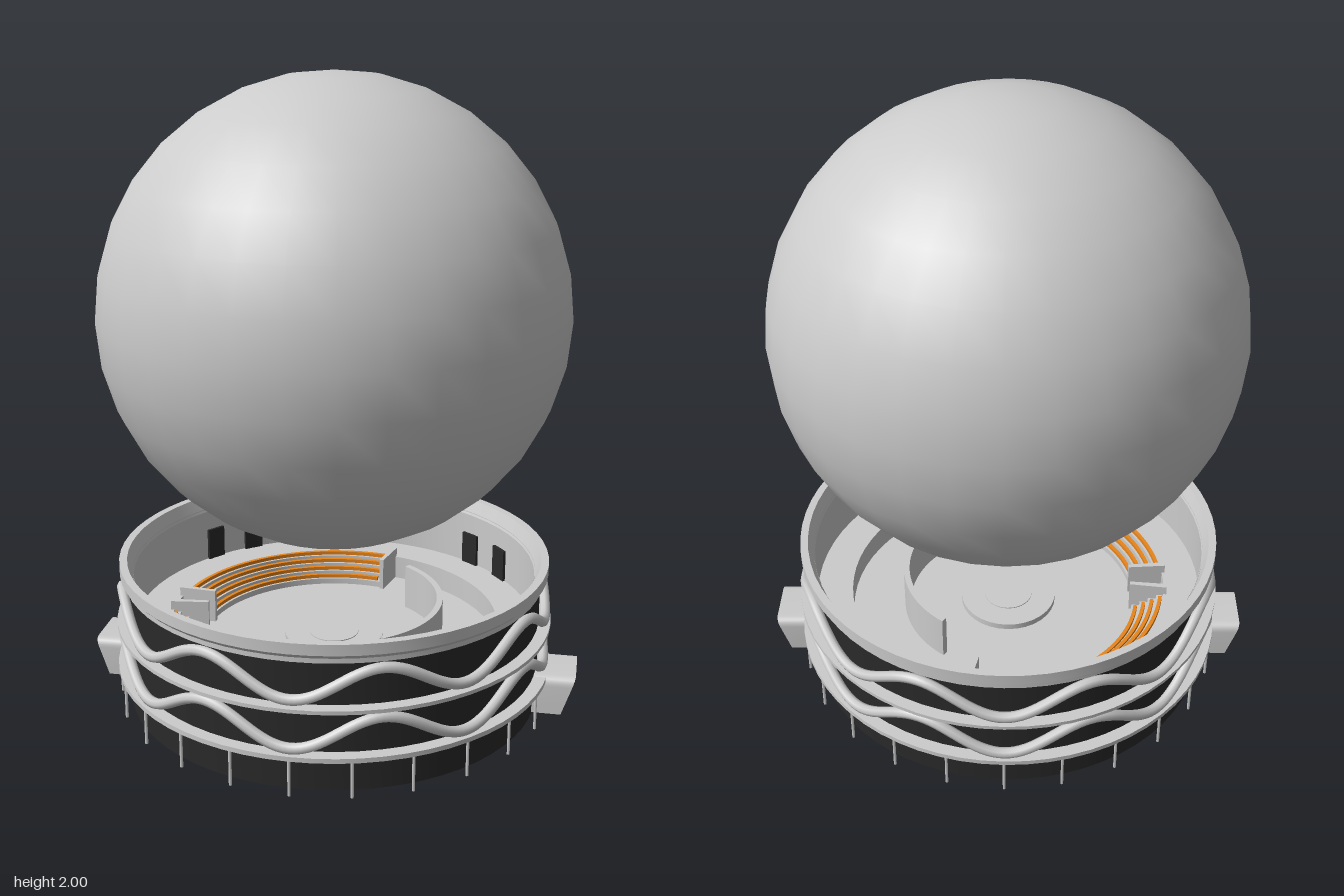
import * as THREE from 'three';
import { toCreasedNormals } from 'three/addons/utils/BufferGeometryUtils.js';

const grey = new THREE.MeshStandardMaterial({ color: 0xcccccc });
const greyOpen = new THREE.MeshStandardMaterial({ color: 0xcccccc, side: THREE.DoubleSide });
const dark = new THREE.MeshStandardMaterial({ color: 0x2a2a2a, side: THREE.DoubleSide });
const orange = new THREE.MeshStandardMaterial({ color: 0xe8851c });
const rad = THREE.MathUtils.degToRad;

export function createModel() {
  const model = new THREE.Group();

  const add = (name, geometry, material = grey, parent = model) => {
    const mesh = new THREE.Mesh(geometry, material);
    mesh.name = name;
    parent.add(mesh);
    return mesh;
  };
  const group = (name) => {
    const g = new THREE.Group();
    g.name = name;
    model.add(g);
    return g;
  };
  // Revolved profile of [radius, y] pairs with sharp corners
  const lathe = (points, segments = 64) => toCreasedNormals(
    new THREE.LatheGeometry(points.map(([r, y]) => new THREE.Vector2(r, y)), segments), rad(35));
  // Flat ring with a rectangular section
  const ring = (r0, r1, y0, y1) => lathe([[r0, y0], [r1, y0], [r1, y1], [r0, y1], [r0, y0]]);
  // Part of a ring, angles in degrees measured from +x
  const sector = (r0, r1, y0, y1, from, to) => {
    const shape = new THREE.Shape();
    shape.absarc(0, 0, r1, rad(from), rad(to), false);
    shape.absarc(0, 0, r0, rad(to), rad(from), true);
    const geo = new THREE.ExtrudeGeometry(shape, { depth: y1 - y0, bevelEnabled: false, curveSegments: 24 });
    return toCreasedNormals(geo.rotateX(-Math.PI / 2).translate(0, y0, 0), rad(35));
  };

  // Floating dome sphere
  add('sphere', new THREE.SphereGeometry(0.73, 32, 16)).position.y = 1.27;

  // Outer drum
  add('outerWall', lathe([[0.645, 0.005], [0.665, 0.005], [0.665, 0.43]]), dark);
  add('basePlate', new THREE.CylinderGeometry(0.645, 0.645, 0.02, 64)).position.y = 0.012;
  add('lowerLedge', ring(0.66, 0.705, 0.115, 0.13));
  add('middleLedge', ring(0.66, 0.703, 0.268, 0.28));
  add('upperLedge', ring(0.65, 0.675, 0.415, 0.43));
  add('topRim', lathe([[0.645, 0.43], [0.675, 0.43], [0.69, 0.445], [0.69, 0.48], [0.665, 0.48], [0.645, 0.43]]));

  // Wavy bands around both storeys
  for (const [name, mid] of [['lowerWave', 0.195], ['upperWave', 0.35]]) {
    const points = [];
    for (let i = 0; i < 128; i++) {
      const a = (i / 128) * Math.PI * 2;
      points.push(new THREE.Vector3(Math.sin(a) * 0.683, mid - 0.05 * Math.cos(a * 8), Math.cos(a) * 0.683));
    }
    add(name, new THREE.TubeGeometry(new THREE.CatmullRomCurve3(points, true), 256, 0.017, 8, true));
  }

  // Thin posts under the lower ledge, left out at the two entrances
  const posts = group('posts');
  for (let i = 0; i < 24; i++) {
    if (i === 6 || i === 18) continue;
    const a = rad(i * 15);
    add('post', new THREE.CylinderGeometry(0.005, 0.005, 0.12, 6), grey, posts)
      .position.set(Math.sin(a) * 0.697, 0.06, Math.cos(a) * 0.697);
  }

  // Entrance hoods: an arch pushed outward, its front leaning out at the top
  const arch = new THREE.Shape();
  arch.moveTo(-0.095, 0.01).lineTo(-0.095, 0.105).quadraticCurveTo(-0.095, 0.135, -0.065, 0.135);
  arch.lineTo(0.065, 0.135).quadraticCurveTo(0.095, 0.135, 0.095, 0.105).lineTo(0.095, 0.01);
  arch.lineTo(0.073, 0.01).lineTo(0.073, 0.1).quadraticCurveTo(0.073, 0.115, 0.058, 0.115);
  arch.lineTo(-0.058, 0.115).quadraticCurveTo(-0.073, 0.115, -0.073, 0.1).lineTo(-0.073, 0.01);
  const hood = new THREE.ExtrudeGeometry(arch, { depth: 0.11, bevelEnabled: false, curveSegments: 6 });
  const pos = hood.attributes.position;
  for (let i = 0; i < pos.count; i++) {
    const outer = pos.getZ(i) > 0.05;
    pos.setZ(i, outer ? 0.75 + (pos.getY(i) - 0.01) * 0.34 : 0.65);
  }
  const hoodGeo = toCreasedNormals(hood, rad(35));
  for (const [name, turn] of [['leftEntrance', 1], ['rightEntrance', -1]]) {
    add(name, hoodGeo, greyOpen).rotation.y = turn * Math.PI / 2;
  }

  // Inside: wall, terrace and sunken floor
  add('arenaInterior', lathe([[0.648, 0.44], [0.648, 0.25], [0.53, 0.25], [0.53, 0.17], [0, 0.17]]), greyOpen);
  add('stage', new THREE.CylinderGeometry(0.16, 0.16, 0.02, 32)).position.y = 0.18;
  add('stageCentre', new THREE.CylinderGeometry(0.08, 0.08, 0.004, 32)).position.y = 0.191;
  add('curvedScreen', sector(0.335, 0.355, 0.17, 0.32, -54, 54));

  // Seating: stepped tiers with coloured rows, split by an aisle
  const seating = group('seating');
  for (const [from, to] of [[78, 173], [187, 282]]) {
    for (let i = 0; i < 4; i++) {
      const r = 0.425 + i * 0.027;
      const y = 0.19 + i * 0.018;
      add('tier', sector(r, 0.535, i ? y - 0.018 : 0.17, y, from, to), grey, seating);
      add('seatRow', sector(r + 0.008, r + 0.02, y, y + 0.012, from + 2, to - 2), orange, seating);
    }
    for (const [a, b] of [[from - 2, from], [to, to + 2]]) {
      add('seatingEndWall', sector(0.415, 0.54, 0.17, 0.28, a, b), grey, seating);
    }
  }

  // Doors along the inside wall
  const doors = group('doors');
  for (let q = 0; q < 4; q++) {
    for (const offset of [-7, 7]) {
      const a = 45 + q * 90 + offset;
      add('door', sector(0.638, 0.65, 0.25, 0.36, a - 3, a + 3), dark, doors);
    }
  }
  return model;
}
